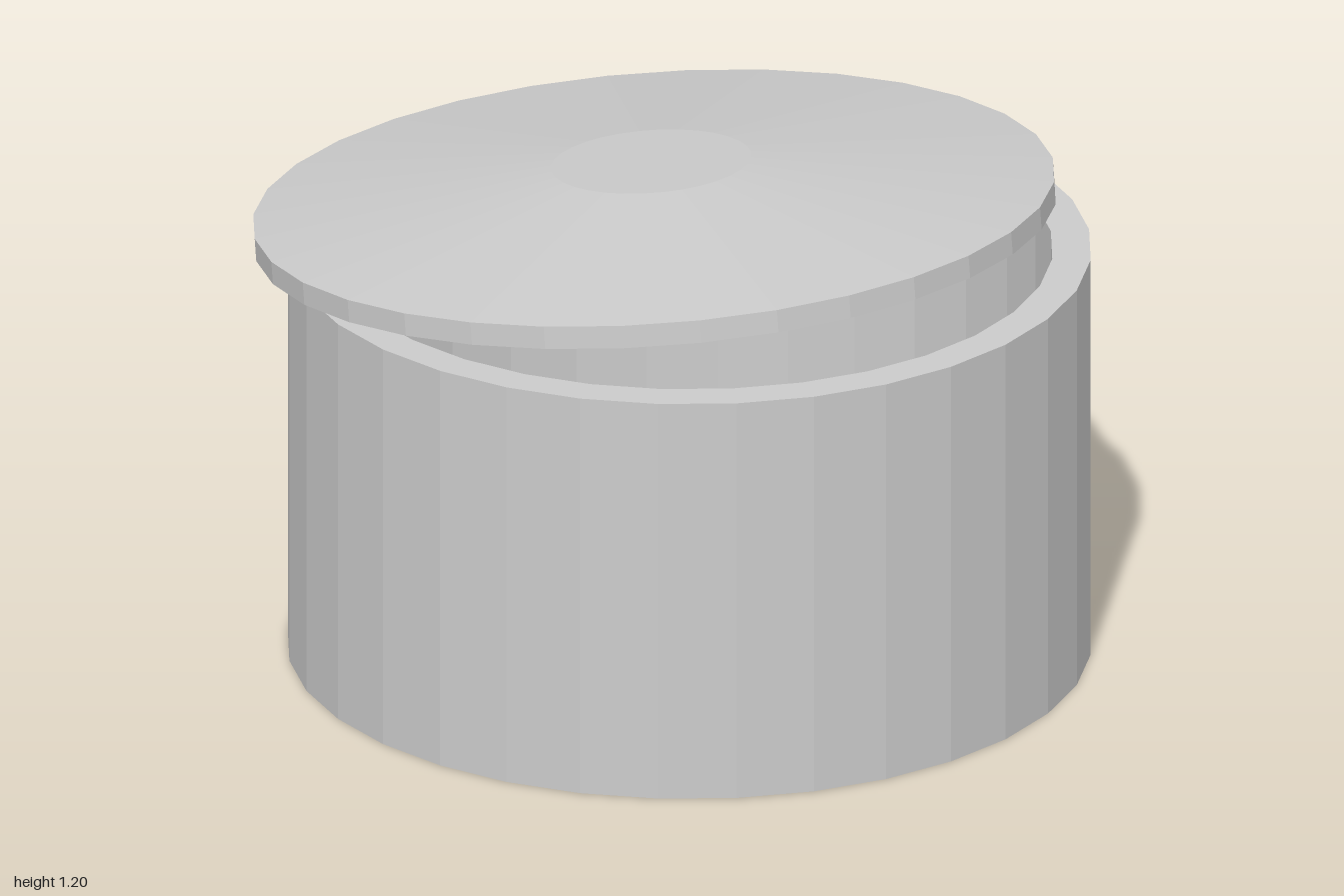
import * as THREE from 'three';

const SIDES = 32;

// Faceted solid of revolution from [radius, height] pairs, bottom to top.
function turned(name, profile) {
  const points = profile.map(([r, y]) => new THREE.Vector2(r, y));
  const material = new THREE.MeshStandardMaterial({ color: 0xcccccc, flatShading: true });
  const mesh = new THREE.Mesh(new THREE.LatheGeometry(points, SIDES), material);
  mesh.name = name;
  return mesh;
}

export function createModel() {
  const model = new THREE.Group();
  model.name = 'lidded pot';

  // Hollow, straight-walled pot with a thin floor
  const pot = turned('pot', [
    [0, 0], [0.94, 0], [0.94, 1], [0.85, 1], [0.85, 0.03], [0, 0.03],
  ]);
  pot.position.x = 0.06;

  // Shallow conical lid with a flat crown, slid aside and tilted
  const lid = turned('lid', [
    [0, 0], [0.94, 0], [0.94, 0.055], [0.235, 0.145], [0, 0.145],
  ]);
  lid.position.set(-0.062, 1.03, 0);
  lid.rotation.z = THREE.MathUtils.degToRad(6.1);

  model.add(pot, lid);
  return model;
}
